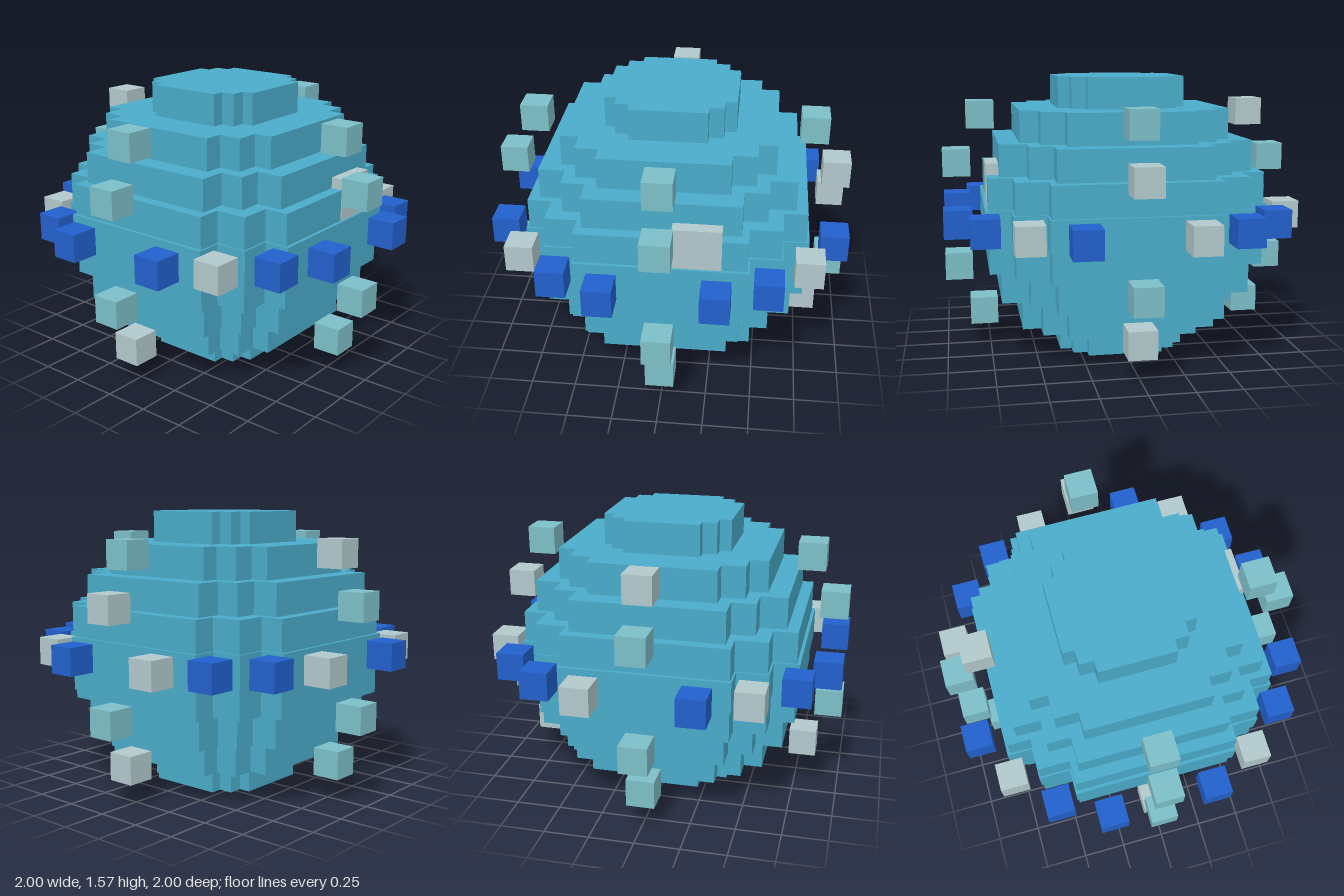
import * as THREE from 'three';

const mat = (name, color) => Object.assign(new THREE.MeshStandardMaterial({ color }), { name });

export function createModel() {
  const aqua = mat('aqua', 0x4aabc9);
  const blue = mat('blue', 0x2260cc);
  const pale = mat('pale grey', 0xb2c8cb);
  const teal = mat('teal', 0x7dbfc8);
  const group = new THREE.Group();

  const MID = 0.785, LAYER = MID * 2 / 9;
  const add = (name, geo, material, x, y, z, parent = group) => {
    const mesh = new THREE.Mesh(geo, material);
    mesh.name = name;
    mesh.position.set(x, y, z);
    parent.add(mesh);
  };

  // Stepped round slab: a = half flat side, b = middle step, r = outer reach
  const slab = (a, b, r) => {
    const quarter = [[r, a], [b, a], [b, b], [a, b], [a, r]];
    const points = [];
    for (let q = 0; q < 4; q++) {
      for (let [x, y] of quarter) {
        for (let i = 0; i < q; i++) [x, y] = [-y, x];
        points.push(new THREE.Vector2(x, y));
      }
    }
    const geo = new THREE.ExtrudeGeometry(new THREE.Shape(points), { depth: LAYER, bevelEnabled: false });
    return geo.rotateX(-Math.PI / 2);
  };

  // Layered ball, mirrored about the equator
  const steps = [
    [0.465, 0.64, 0.78], [0.455, 0.63, 0.762], [0.418, 0.55, 0.698],
    [0.35, 0.48, 0.582], [0.212, 0.292, 0.357],
  ];
  const ball = new THREE.Group();
  ball.name = 'layeredBall';
  group.add(ball);
  for (let i = -4; i <= 4; i++) {
    add('ballLayer', slab(...steps[Math.abs(i)]), aqua, 0, (i + 4) * LAYER, 0, ball);
  }

  // Square panel set into the front
  add('frontPanel', new THREE.BoxGeometry(0.26, 0.25, 0.16), pale, 0.19, 0.983, 0.687);

  // Orbiting cubes
  const RING = 0.97, cube = new THREE.BoxGeometry(0.156, 0.156, 0.156);
  const palette = { b: blue, p: pale, t: teal };
  const ring = (name, colours, angles, place) => {
    const orbit = new THREE.Group();
    orbit.name = name;
    group.add(orbit);
    angles.forEach((deg, i) => {
      const t = THREE.MathUtils.degToRad(deg);
      const [x, y, z] = place(RING * Math.cos(t), RING * Math.sin(t));
      add('orbitCube', cube, palette[colours[i]], x, MID + y, z, orbit);
    });
  };
  // Level ring, from the left side round through the front
  const level = [0, 90, 180, 270].flatMap(q => [18, 36, 54, 72].map(d => q + d));
  ring('levelRing', 'bpbbbbpbbbpbpbbp', level, (c, s) => [c, 0, s]);
  // Upright rings: first side top to bottom, then the opposite side top to bottom
  const upright = [36, 18, -18, -36, 144, 162, 198, 216];
  ring('sideToSideRing', 'tptptttp', upright, (c, s) => [c, s, 0]);
  ring('frontToBackRing', 'ttttpttt', upright, (c, s) => [0, s, c]);

  return group;
}
